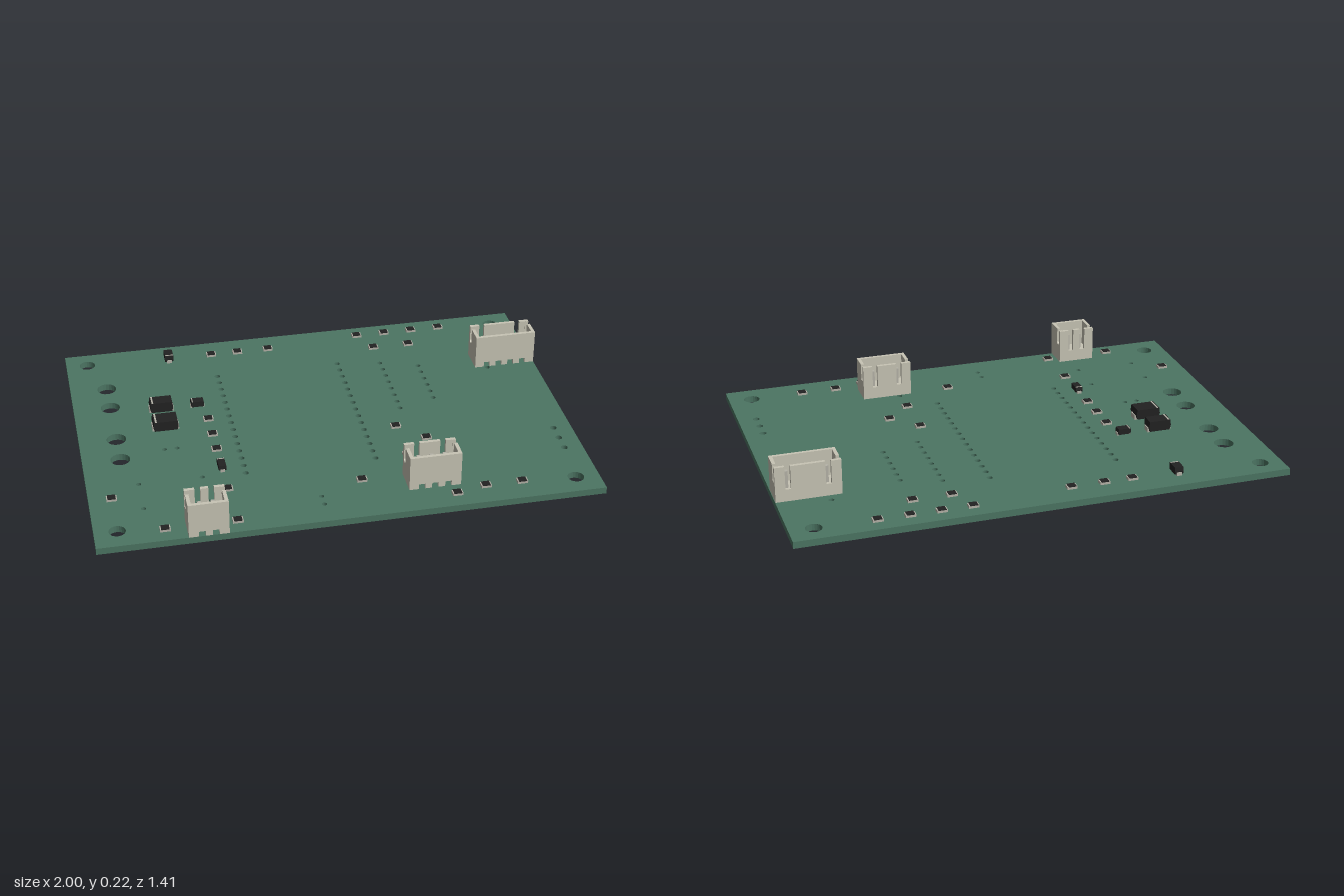
import * as THREE from 'three';

const material = (name, color) => {
  const m = new THREE.MeshStandardMaterial({ color });
  m.name = name;
  return m;
};
const green = material('board green', 0x4c7563);
const cream = material('connector cream', 0xc8c5b5);
const black = material('component black', 0x222222);
const silver = material('metal silver', 0xb5b3a8);

const BOTTOM = 0.042, TOP = 0.07;

function add(parent, name, geometry, mat, x = 0, y = 0, z = 0) {
  const mesh = new THREE.Mesh(geometry, mat);
  mesh.name = name;
  mesh.position.set(x, y, z);
  parent.add(mesh);
  return mesh;
}
const box = (w, h, d) => new THREE.BoxGeometry(w, h, d);
const polygon = (pts) => new THREE.Shape(pts.map(([x, y]) => new THREE.Vector2(x, y)));
const extrude = (shape, depth, curveSegments = 8) =>
  new THREE.ExtrudeGeometry(shape, { depth, bevelEnabled: false, curveSegments });

// Drilled holes as [x, z, radius]
function holeList() {
  const holes = [];
  for (const x of [-0.91, 0.904]) for (const z of [-0.62, 0.61]) holes.push([x, z, 0.033]);
  for (const z of [-0.41, -0.26, -0.017, 0.132]) holes.push([-0.847, z, 0.04]);
  const row = (x, z0, n, step, r) => {
    for (let i = 0; i < n; i++) holes.push([x, z0 + i * step, r]);
  };
  row(-0.37, -0.42, 15, 0.0532, 0.012);
  row(0.157, -0.42, 15, 0.0532, 0.012);
  row(0.341, -0.389, 8, 0.0529, 0.011);
  row(0.498, -0.335, 6, 0.0529, 0.011);
  row(0.924, 0.255, 3, 0.0735, 0.014);
  row(-0.107, 0.541, 2, 0.053, 0.01);
  row(0.79, -0.418, 2, 0.156, 0.011);
  row(0.29, 0.45, 1, 0, 0.011);
  for (const x of [-0.665, -0.613]) row(x, 0.095, 1, 0, 0.01);
  for (const x of [-0.795, -0.543]) row(x, 0.319, 2, 0.166, 0.01);
  return holes;
}

function buildBoard() {
  const shape = polygon([[-1, -0.705], [1, -0.705], [1, 0.705], [-1, 0.705]]);
  for (const [x, z, r] of holeList()) {
    const hole = new THREE.Path();
    hole.absarc(x, -z, r, 0, Math.PI * 2, true);
    shape.holes.push(hole);
  }
  return extrude(shape, TOP - BOTTOM, 10).rotateX(-Math.PI / 2).translate(0, BOTTOM, 0);
}

// Open-topped shrouded pin header; origin at the middle of the pin row
function buildConnector(pins) {
  const g = new THREE.Group();
  g.name = `connector${pins}Pin`;
  const pitch = 0.0528, half = (0.05 + pitch * pins) / 2;
  const y0 = 0.072, y1 = 0.218, front = 0.069, back = -0.046, t = 0.014;
  const pinX = Array.from({ length: pins }, (_, i) => (i - (pins - 1) / 2) * pitch);

  // Front wall with a small relief under each pin
  const frontPts = [[-half + t, y0]];
  for (const x of pinX) {
    frontPts.push([x - 0.013, y0], [x - 0.013, 0.094], [x + 0.013, 0.094], [x + 0.013, y0]);
  }
  frontPts.push([half - t, y0], [half - t, y1], [-half + t, y1]);
  add(g, 'frontWall', extrude(polygon(frontPts), t), cream, 0, 0, front - t);

  // Back wall with two key slots open at the top
  const backPts = [[-half + t, y0], [half - t, y0], [half - t, y1]];
  for (const x of [pinX[pins - 1], pinX[0]]) {
    backPts.push([x + 0.011, y1], [x + 0.011, 0.122], [x - 0.011, 0.122], [x - 0.011, y1]);
  }
  backPts.push([-half + t, y1]);
  add(g, 'backWall', extrude(polygon(backPts), t), cream, 0, 0, back);

  // Side walls with a round-bottomed slot
  const side = polygon([[back, y0], [front, y0], [front, y1], [-0.007, y1], [-0.007, 0.158]]);
  side.absarc(-0.0185, 0.158, 0.0115, 0, -Math.PI, true);
  side.lineTo(-0.03, y1);
  side.lineTo(back, y1);
  const sideGeometry = extrude(side, t).rotateY(-Math.PI / 2);
  add(g, 'rightWall', sideGeometry, cream, -half + t);
  add(g, 'leftWall', sideGeometry, cream, half);

  add(g, 'floor', box(2 * (half - t), 0.014, front - back - 2 * t), cream, 0, 0.101, (front + back) / 2);

  // Pins with a slightly kinked, tapered tail
  for (const x of pinX) {
    add(g, 'pin', box(0.015, 0.14, 0.015), silver, x, 0.11, 0);
    const tail = new THREE.CylinderGeometry(0.0106, 0.007, 0.04, 4).rotateY(Math.PI / 4);
    add(g, 'pinTail', tail, silver, x, 0.0205, 0.002).rotation.x = -0.12;
  }
  return g;
}

// Small chip: pale body with a dark top film
function buildChip() {
  const g = new THREE.Group();
  g.name = 'chip';
  add(g, 'chipBody', box(0.041, 0.011, 0.028), silver, 0, TOP + 0.0055, 0);
  add(g, 'chipTop', box(0.032, 0.003, 0.029), black, 0, TOP + 0.0115, 0);
  return g;
}

// Moulded diode lying along x, with tapered body, end leads and cathode band
function buildDiode(length, width, height) {
  const g = new THREE.Group();
  g.name = 'diode';
  const l = length / 2, h = TOP + height, mid = TOP + height * 0.5;
  const profile = polygon([
    [-l * 0.9, TOP + 0.006], [l * 0.9, TOP + 0.006], [l, mid], [l * 0.94, h], [-l * 0.94, h], [-l, mid],
  ]);
  add(g, 'diodeBody', extrude(profile, width), black, 0, 0, -width / 2);
  for (const s of [-1, 1]) {
    add(g, 'lead', box(length * 0.14, height * 0.42, width * 0.6), silver, s * l * 0.92, TOP + height * 0.21, 0);
  }
  add(g, 'cathodeBand', box(length * 0.07, 0.002, width * 0.98), silver, -l * 0.78, h + 0.0005, 0);
  return g;
}

export function createModel() {
  const model = new THREE.Group();
  model.name = 'circuitBoard';
  add(model, 'board', buildBoard(), green);

  const place = (part, x, z, turn = 0) => {
    part.position.set(x, 0, z);
    part.rotation.y = turn;
    model.add(part);
  };

  place(buildConnector(2), -0.572, 0.639);
  place(buildConnector(3), 0.341, 0.503);
  place(buildConnector(4), 0.868, -0.336);

  const chips = [
    [-0.37, -0.6], [-0.254, -0.6], [-0.118, -0.6], [0.29, -0.635], [0.415, -0.635], [0.538, -0.635],
    [0.664, -0.635], [0.341, -0.52], [0.498, -0.52], [-0.458, -0.088], [-0.458, 0.027], [-0.458, 0.139],
    [-0.458, 0.423], [-0.91, 0.401], [-0.731, 0.637], [-0.452, 0.637], [0.29, 0.118], [0.29, 0.327],
    [0.393, 0.225], [0.07, 0.466], [0.415, 0.629], [0.538, 0.6], [0.686, 0.6],
  ];
  for (const [x, z] of chips) place(buildChip(), x, z);

  place(buildDiode(0.096, 0.055, 0.05), -0.64, -0.203);
  place(buildDiode(0.104, 0.07, 0.048), -0.64, -0.067);
  place(buildDiode(0.055, 0.034, 0.03), -0.488, -0.203);
  place(buildDiode(0.058, 0.036, 0.035), -0.557, -0.6, Math.PI / 2);
  place(buildDiode(0.06, 0.03, 0.028), -0.458, 0.27, -Math.PI / 2);
  return model;
}
